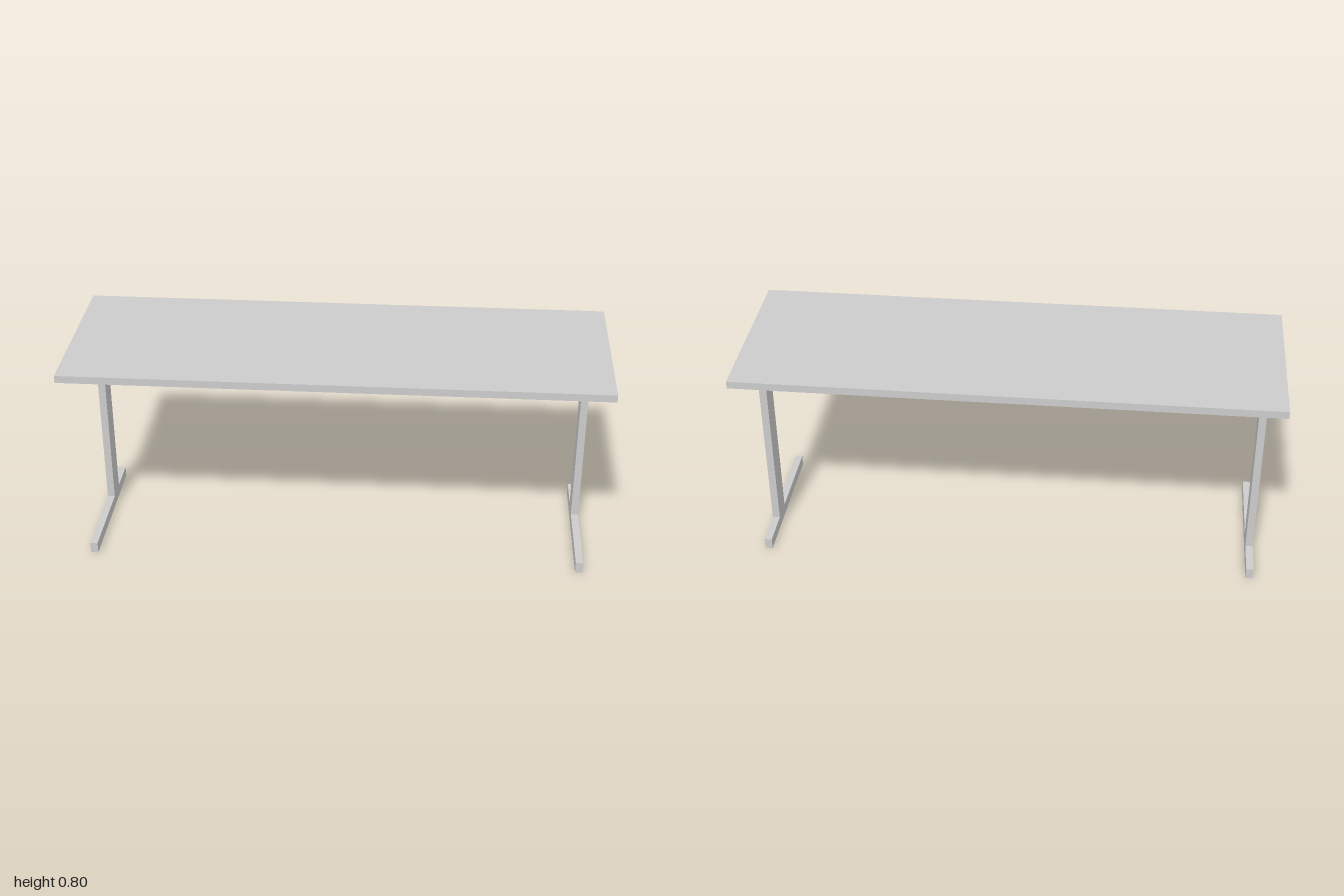
import * as THREE from 'three';

export function createModel() {
  const group = new THREE.Group();
  const material = new THREE.MeshStandardMaterial({ color: 0xcccccc, flatShading: true });

  // Box given by its extents along each axis
  function addBox(name, [x0, x1], [y0, y1], [z0, z1], parent = group) {
    const mesh = new THREE.Mesh(new THREE.BoxGeometry(x1 - x0, y1 - y0, z1 - z0), material);
    mesh.position.set((x0 + x1) / 2, (y0 + y1) / 2, (z0 + z1) / 2);
    mesh.name = name;
    parent.add(mesh);
  }

  const inner = 0.914, outer = 0.942;   // side frame thickness in x
  const reach = 0.282, bar = 0.028;     // half depth of the frame, bar thickness
  const railY = [0.742, 0.77];

  addBox('tableTop', [-1, 1], [0.77, 0.798], [-0.338, 0.338]);

  // Side frames: foot, column and top rail
  for (const side of [-1, 1]) {
    const frame = new THREE.Group();
    frame.name = side > 0 ? 'leftSideFrame' : 'rightSideFrame';
    group.add(frame);
    const x = side > 0 ? [inner, outer] : [-outer, -inner];
    addBox('foot', x, [0, 0.042], [-reach, reach], frame);
    addBox('column', x, [0.042, 0.742], [-0.14, -0.055], frame);
    addBox('endRail', x, railY, [-reach, reach], frame);
  }

  // Long rails under the top
  addBox('frontRail', [-inner, inner], railY, [reach - bar, reach]);
  addBox('backRail', [-inner, inner], railY, [-reach, -reach + bar]);

  // Cross beam joining the columns
  addBox('crossBeam', [-inner, inner], [0.62, 0.676], [-0.112, -0.083]);

  return group;
}
